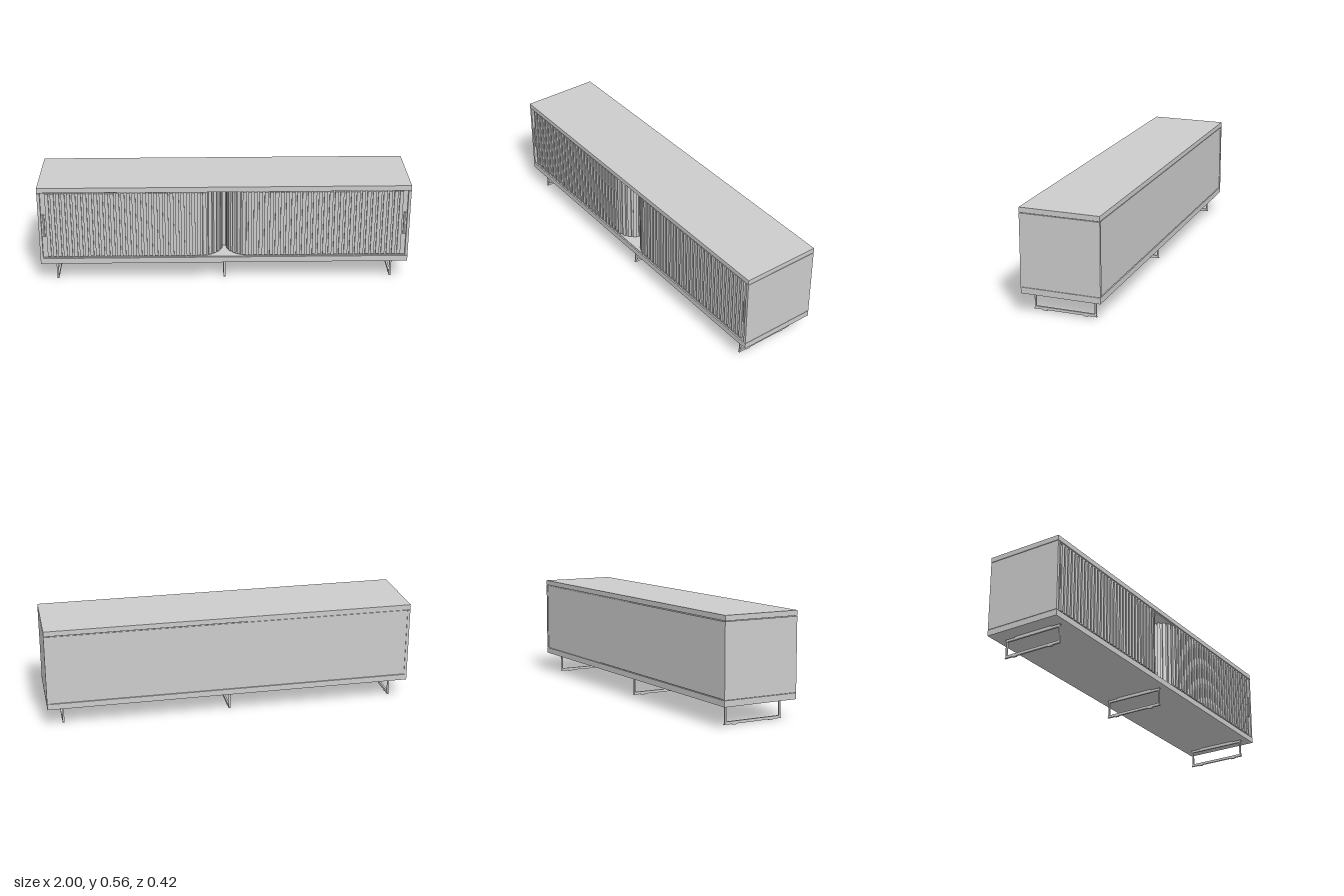
import * as THREE from 'three';

const mat = new THREE.MeshStandardMaterial({ color: 0xcccccc });

function mesh(parent, name, geometry) {
  const m = new THREE.Mesh(geometry, mat);
  m.name = name;
  parent.add(m);
  return m;
}

// Box given by its lower and upper limits on each axis
function box(parent, name, x0, x1, y0, y1, z0, z1) {
  const m = mesh(parent, name, new THREE.BoxGeometry(x1 - x0, y1 - y0, z1 - z0));
  m.position.set((x0 + x1) / 2, (y0 + y1) / 2, (z0 + z1) / 2);
  return m;
}

// Sliding door track: straight along the front, round the corner, then back beside the divider
const X_END = 0.985, R = 0.11, X_ARC = 0.13, Z_FRONT = 0.197, Z_BACK = -0.18;
const L1 = X_END - X_ARC, L2 = R * Math.PI / 2, L3 = Z_FRONT - R - Z_BACK;
function track(s) {
  if (s < L1) return { x: X_END - s, z: Z_FRONT, a: 0 };
  if (s < L1 + L2) {
    const a = (s - L1) / R;
    return { x: X_ARC - R * Math.sin(a), z: Z_FRONT - R + R * Math.cos(a), a };
  }
  return { x: X_ARC - R, z: Z_FRONT - R - (s - L1 - L2), a: Math.PI / 2 };
}

function tambourDoor(side) {
  const door = new THREE.Group();
  door.name = side > 0 ? 'leftDoor' : 'rightDoor';
  const y0 = 0.145, y1 = 0.525;

  // Flexible backing sheet following the track
  const stops = [0, L1 - 0.001];
  for (let i = 0; i <= 12; i++) stops.push(L1 + L2 * i / 12);
  stops.push(L1 + L2 + L3);
  const edge = (d) => stops.map((s) => {
    const p = track(s);
    return new THREE.Vector2(side * (p.x - d * Math.sin(p.a)), p.z + d * Math.cos(p.a));
  });
  const sheet = new THREE.ExtrudeGeometry(
    new THREE.Shape([...edge(0), ...edge(-0.006).reverse()]),
    { depth: y1 - y0, bevelEnabled: false });
  sheet.rotateX(Math.PI / 2).translate(0, y1, 0);
  mesh(door, 'doorBacking', sheet);

  // Vertical slats
  const pitch = 0.029;
  const slat = new THREE.BoxGeometry(0.019, 0.37, 0.012);
  for (let s = 0.035; s < L1 + L2 + L3 - 0.01; s += pitch) {
    const p = track(s);
    const m = mesh(door, 'slat', slat);
    m.position.set(side * (p.x - 0.005 * Math.sin(p.a)), 0.337, p.z + 0.005 * Math.cos(p.a));
    m.rotation.y = -side * p.a;
  }

  // Slim pull at the outer end
  const h = side * 0.972;
  box(door, 'doorPull', h - 0.004, h + 0.004, 0.27, 0.4, 0.19, 0.21);
  return door;
}

function legFrame(x) {
  const leg = new THREE.Group();
  leg.name = 'legFrame';
  leg.position.x = x;
  const w = 0.005, zc = 0.009;

  // Upright rectangle with an open middle
  const shape = new THREE.Shape([[-0.166, 0.006], [0.166, 0.006], [0.166, 0.105], [-0.166, 0.105]]
    .map(([a, b]) => new THREE.Vector2(a, b)));
  shape.holes.push(new THREE.Path([[-0.158, 0.018], [-0.158, 0.093], [0.158, 0.093], [0.158, 0.018]]
    .map(([a, b]) => new THREE.Vector2(a, b))));
  const frame = new THREE.ExtrudeGeometry(shape, { depth: 2 * w, bevelEnabled: false });
  frame.translate(0, 0, -w).rotateY(Math.PI / 2).translate(0, 0, zc);
  mesh(leg, 'legLoop', frame);

  // Thin rims, mounting plate and floor pads
  box(leg, 'topRim', -w, w, 0.103, 0.106, -0.161, 0.179);
  box(leg, 'bottomRim', -w, w, 0.004, 0.008, -0.161, 0.179);
  box(leg, 'mountingPlate', -w, w, 0.101, 0.112, -0.1, 0.12);
  for (const z of [-0.1, 0.12]) box(leg, 'floorPad', -w, w, 0, 0.005, z - 0.012, z + 0.012);
  return leg;
}

export function createModel() {
  const model = new THREE.Group();
  model.name = 'sideboard';

  // Cabinet shell
  box(model, 'topPanel', -1, 1, 0.53, 0.557, -0.212, 0.212);
  box(model, 'basePanel', -1, 1, 0.11, 0.142, -0.212, 0.212);
  box(model, 'topSpacer', -0.994, 0.994, 0.525, 0.531, -0.205, 0.205);
  box(model, 'baseSpacer', -0.994, 0.994, 0.141, 0.145, -0.205, 0.205);
  box(model, 'backPanel', -0.985, 0.985, 0.145, 0.525, -0.209, -0.197);
  box(model, 'centreDivider', -0.01, 0.01, 0.145, 0.525, -0.197, 0.07);
  for (const side of [1, -1]) {
    box(model, side > 0 ? 'leftSidePanel' : 'rightSidePanel',
      side * 0.9925 - 0.0075, side * 0.9925 + 0.0075, 0.144, 0.527, -0.212, 0.212);
    model.add(tambourDoor(side));
  }

  // Legs
  for (const x of [-0.915, 0, 0.915]) model.add(legFrame(x));
  return model;
}
